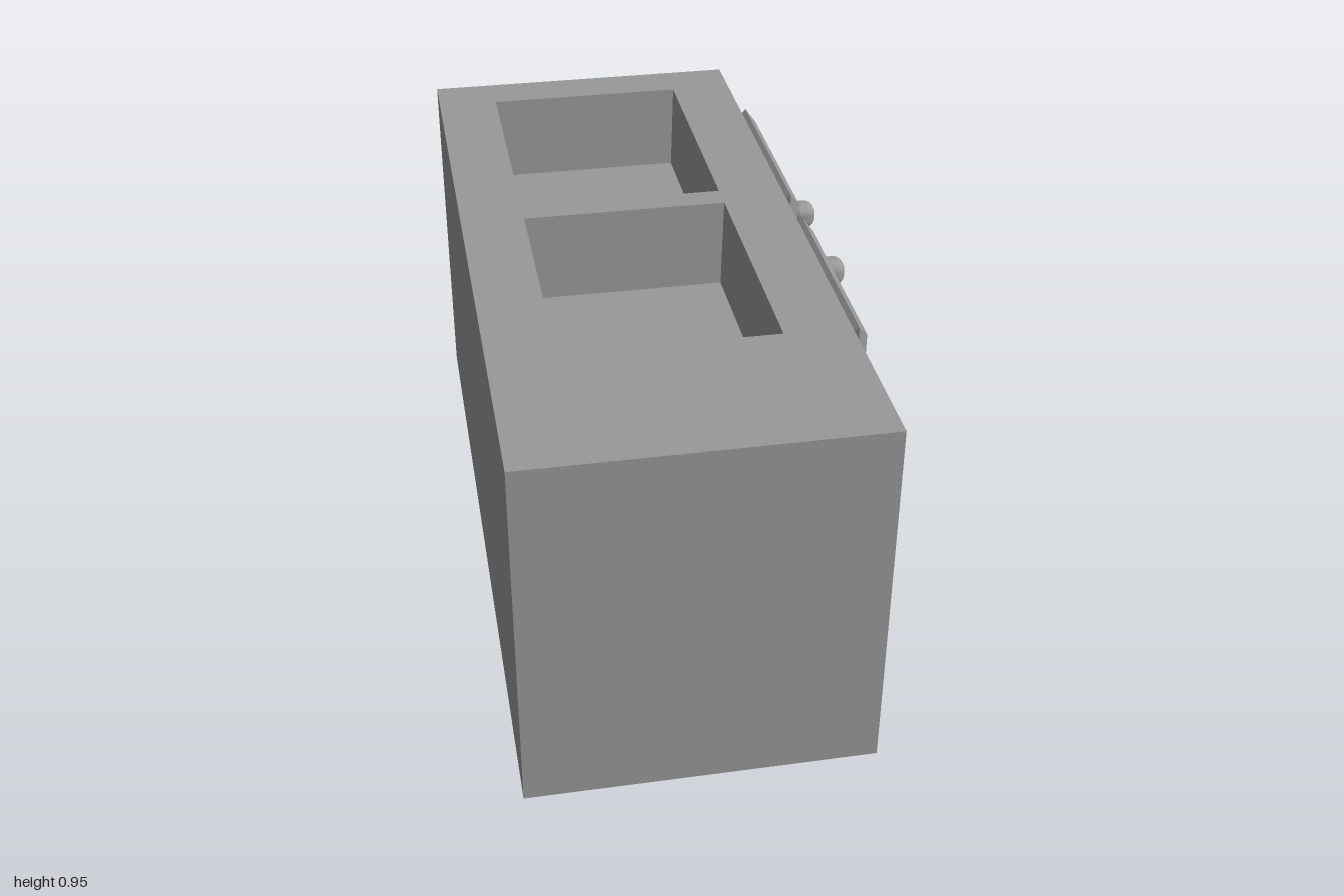
import * as THREE from 'three';
import { RoundedBoxGeometry } from 'three/addons/geometries/RoundedBoxGeometry.js';

const H = 0.955;                 // cabinet height
const X0 = -0.5, X1 = 0.368;     // cabinet depth range
const BX0 = -0.335, BX1 = 0.2;   // basin range along x
const BASINS = [[-0.875, -0.19], [-0.12, 0.56]];

// Four corners of a rectangle in (u, v), counter-clockwise
const rect = (u0, u1, v0, v1, place) =>
  [[u0, v0], [u1, v0], [u1, v1], [u0, v1]].map(([u, v]) => place(u, v));

// Joins successive rectangles with flat quads and caps the last one
function loft(rings) {
  const pos = [];
  const quad = (a, b, c, d) => [a, b, c, a, c, d].forEach((p) => pos.push(...p));
  for (let r = 0; r < rings.length - 1; r++) {
    for (let i = 0; i < 4; i++) {
      const j = (i + 1) % 4;
      quad(rings[r][i], rings[r][j], rings[r + 1][j], rings[r + 1][i]);
    }
  }
  quad(...rings[rings.length - 1]);
  const g = new THREE.BufferGeometry();
  g.setAttribute('position', new THREE.Float32BufferAttribute(pos, 3));
  g.computeVertexNormals();
  return g;
}

export function createModel() {
  const model = new THREE.Group();
  model.name = 'sinkCabinet';
  const grey = new THREE.MeshStandardMaterial({ color: 0x999999 });
  grey.name = 'plain grey';
  const add = (name, geometry) => {
    const mesh = new THREE.Mesh(geometry, grey);
    mesh.name = name;
    model.add(mesh);
    return mesh;
  };

  // Cabinet walls and base
  add('cabinetBody', loft([H, 0].map((y) => rect(X0, X1, -1, 1, (x, z) => [x, y, z]))));

  // Worktop with two rectangular openings
  const outline = (x0, x1, z0, z1) =>
    rect(x0, x1, -z1, -z0, (x, y) => new THREE.Vector2(x, y));
  const top = new THREE.Shape(outline(X0, X1, -1, 1));
  BASINS.forEach(([z0, z1]) => top.holes.push(new THREE.Path(outline(BX0, BX1, z0, z1))));
  add('worktop', new THREE.ShapeGeometry(top).rotateX(-Math.PI / 2).translate(0, H, 0));

  // Slightly tapered basins
  BASINS.forEach(([z0, z1], i) => {
    const rings = [[H, 0], [H - 0.24, 0.007]].map(([y, t]) =>
      rect(z0 + t, z1 - t, BX0 + t, BX1 - t, (z, x) => [x, y, z]));
    add(['rearBasin', 'frontBasin'][i], loft(rings));
  });

  // Bevelled doors with round knobs: z range, knob z
  [['front', -0.08, 0.5, 0.017], ['rear', -0.79, -0.21, -0.313]].forEach(([side, z0, z1, knobZ]) => {
    const rings = [[X1, 1], [0.405, 0], [0.432, 1]].map(([x, t]) =>
      rect(0.06 + 0.034 * t, 0.913 - 0.034 * t, z0 + 0.022 * t, z1 - 0.022 * t, (y, z) => [x, y, z]));
    add(side + 'Door', loft(rings));
    add(side + 'Knob', new RoundedBoxGeometry(0.068, 0.07, 0.07, 5, 0.027)).position.set(0.466, 0.798, knobZ);
  });

  return model;
}
